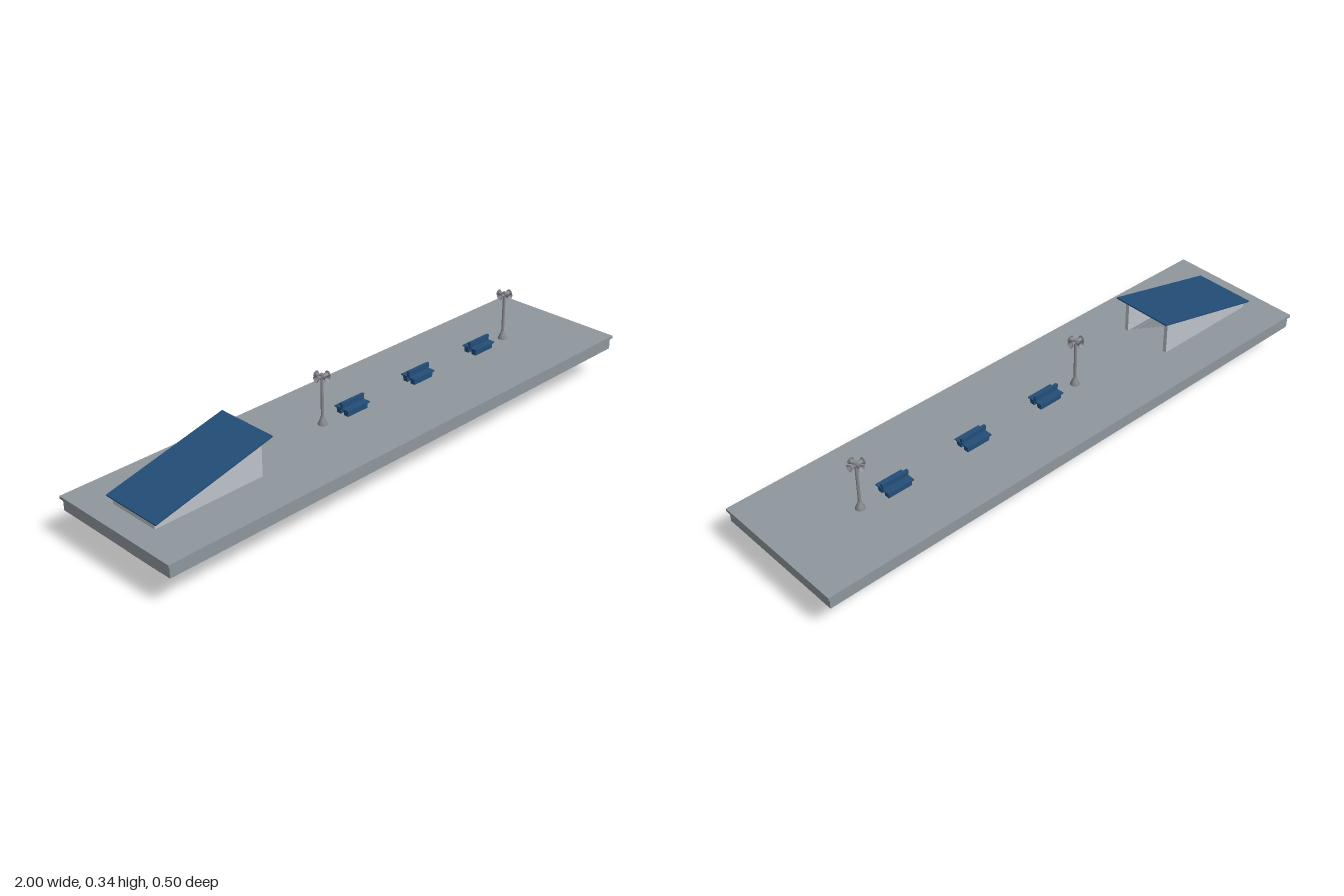
import * as THREE from 'three';

const material = (name, color) => {
  const m = new THREE.MeshStandardMaterial({ color, side: THREE.DoubleSide });
  m.name = name;
  return m;
};

export function createModel() {
  const concrete = material('concrete grey', 0x8f979d);
  const wallGrey = material('light wall grey', 0xbcc2ca);
  const blue = material('dark blue', 0x234e78);
  const metal = material('lamp metal grey', 0x85878b);

  const model = new THREE.Group();
  model.name = 'stationPlatform';

  const add = (parent, name, geometry, mat, x = 0, y = 0, z = 0) => {
    const mesh = new THREE.Mesh(geometry, mat);
    mesh.name = name;
    mesh.position.set(x, y, z);
    parent.add(mesh);
    return mesh;
  };
  const box = (parent, name, mat, x0, x1, y0, y1, z0, z1) =>
    add(parent, name, new THREE.BoxGeometry(x1 - x0, y1 - y0, z1 - z0), mat,
      (x0 + x1) / 2, (y0 + y1) / 2, (z0 + z1) / 2);
  const polygon = (points) => new THREE.Shape(points.map(([x, y]) => new THREE.Vector2(x, y)));
  const rect = (x0, x1, y0, y1) => polygon([[x0, y0], [x1, y0], [x1, y1], [x0, y1]]);
  const extrude = (shape, depth) =>
    new THREE.ExtrudeGeometry(shape, { depth, bevelEnabled: false });

  // Deck slab with the stairwell cut out, and a hollow skirt beneath
  const stair = { x: -0.9, run: 0.024, rise: 0.01, count: 16, z0: -0.089, z1: 0.072 };
  const stairEnd = stair.x + stair.run * stair.count;
  const deck = rect(-1, 1, -0.25, 0.25);
  deck.holes.push(rect(stair.x, stairEnd, -stair.z1, -stair.z0));
  add(model, 'deck', extrude(deck, 0.01).rotateX(-Math.PI / 2), concrete, 0, 0.15, 0);
  const skirt = rect(-0.993, 0.993, -0.244, 0.244);
  skirt.holes.push(rect(-0.983, 0.983, -0.234, 0.234));
  add(model, 'skirt', extrude(skirt, 0.039).rotateX(-Math.PI / 2), concrete, 0, 0.111, 0);

  // Staircase descending below the deck between two thin stepped walls
  const stairs = new THREE.Group();
  stairs.name = 'staircase';
  model.add(stairs);
  const outline = [[stair.x, 0.15]];
  for (let i = 0; i < stair.count; i++) {
    const x = stair.x + i * stair.run, y = i * stair.rise;
    box(stairs, 'step', concrete, x, x + stair.run, y, y + stair.rise,
      stair.z0 + 0.002, stair.z1 - 0.002);
    if (y < 0.15) outline.push([x, y], [x + stair.run, y]);
  }
  outline.push([stairEnd - stair.run, 0.15]);
  for (const z of [stair.z0, stair.z1 - 0.002])
    add(stairs, 'stairSideWall', extrude(polygon(outline), 0.002), concrete, 0, 0, z);
  box(stairs, 'stairEndWall', concrete, stair.x, stair.x + 0.002, 0.01, 0.15,
    stair.z0 + 0.002, stair.z1 - 0.002);

  // Shelter over the stairs: two sloped side walls, a low end wall and a tilted roof
  const shelter = new THREE.Group();
  shelter.name = 'shelter';
  model.add(shelter);
  const side = polygon([[-0.917, 0.16], [-0.517, 0.16], [-0.517, 0.284], [-0.917, 0.188]]);
  for (const z of [0.072, -0.104])
    add(shelter, 'shelterSideWall', extrude(side, 0.014), wallGrey, 0, 0, z);
  box(shelter, 'shelterEndWall', wallGrey, -0.917, -0.902, 0.16, 0.19, -0.09, 0.072);
  const roof = polygon([[-0.927, 0.184], [-0.489, 0.289], [-0.49, 0.294], [-0.928, 0.189]]);
  add(shelter, 'roof', extrude(roof, 0.225), blue, 0, 0, -0.12);

  // Double-sided benches: two tapered bases, seats and a shared backrest
  const centreZ = -0.018;
  const base = polygon([[-0.042, -0.011], [0.042, -0.011], [0.046, 0.021], [-0.046, 0.021]]);
  const back = polygon([[-0.047, 0.02], [0.047, 0.02], [0.05, 0.043], [-0.05, 0.043]]);
  for (const x of [-0.04, 0.27, 0.58]) {
    const bench = new THREE.Group();
    bench.name = 'bench';
    bench.position.set(x, 0.16, centreZ);
    model.add(bench);
    for (const s of [-1, 1]) {
      add(bench, 'benchBase', extrude(base, 0.018), blue, 0, 0, s * 0.016 - 0.009);
      box(bench, 'benchSeat', blue, -0.049, 0.049, 0.02, 0.024,
        s * 0.0165 - 0.0145, s * 0.0165 + 0.0145);
    }
    add(bench, 'benchBackrest', extrude(back, 0.01), blue, 0, 0, -0.005);
  }

  // Posts with a flared foot, carrying four outward-facing horns
  const post = [[0, -0.011], [0.016, -0.011], [0.016, 0.002], [0.011, 0.013], [0.006, 0.026],
    [0.005, 0.03], [0.005, 0.16], [0, 0.16]].map(([r, y]) => new THREE.Vector2(r, y));
  const horn = [[0, 0], [0.004, 0], [0.005, 0.01], [0.008, 0.019], [0.012, 0.026],
    [0.006, 0.017], [0, 0.013]].map(([r, y]) => new THREE.Vector2(r, y));
  for (const x of [-0.172, 0.711]) {
    const lamp = new THREE.Group();
    lamp.name = 'hornPost';
    lamp.position.set(x, 0.16, centreZ);
    model.add(lamp);
    add(lamp, 'post', new THREE.LatheGeometry(post, 16), metal);
    add(lamp, 'hub', new THREE.CylinderGeometry(0.007, 0.007, 0.02, 12), metal, 0, 0.167, 0);
    for (let i = 0; i < 4; i++) {
      const geometry = new THREE.LatheGeometry(horn, 12).rotateX(Math.PI / 2)
        .rotateY(i * Math.PI / 2);
      add(lamp, 'horn', geometry, metal, 0, 0.167, 0);
    }
  }
  return model;
}
